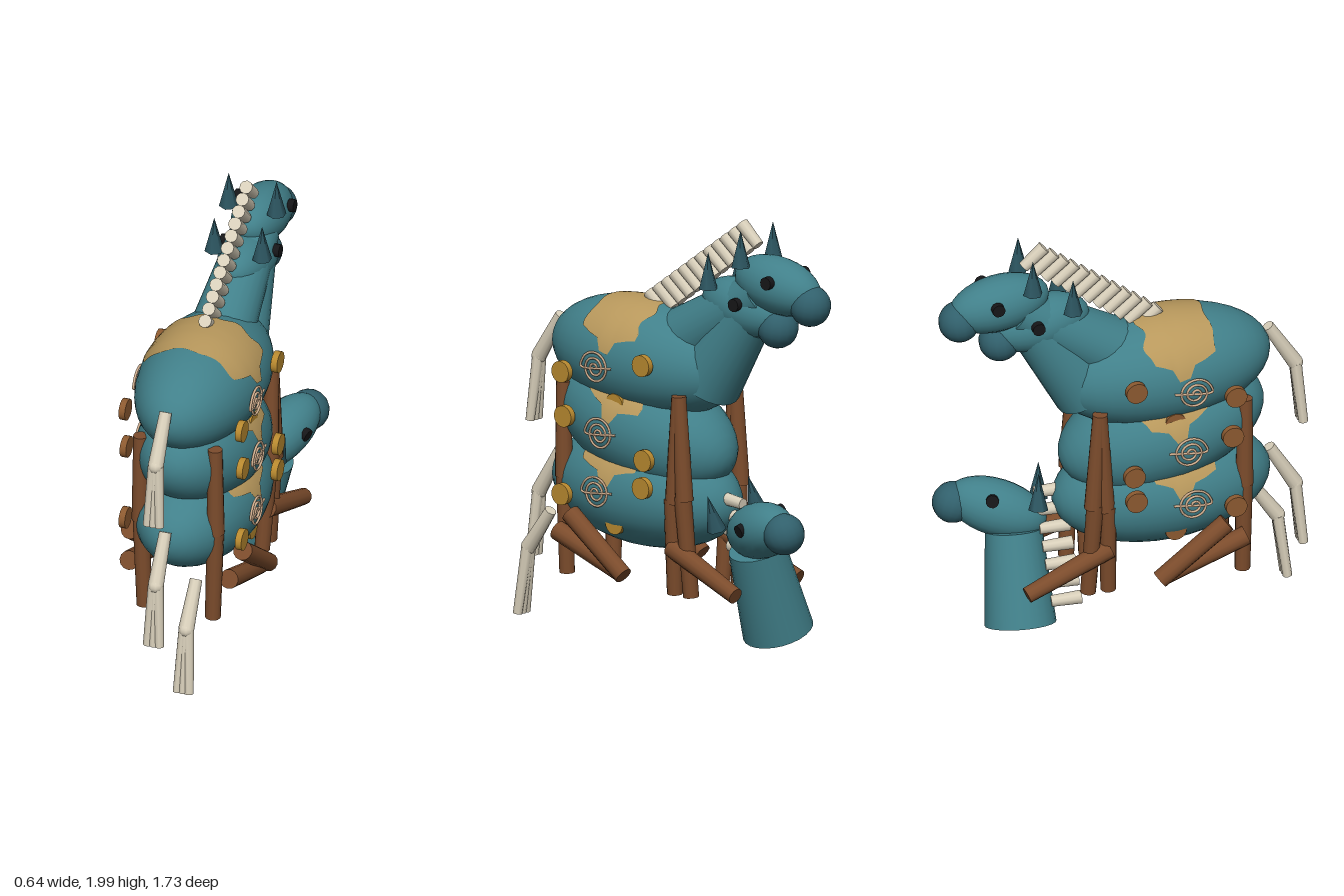
import * as THREE from 'three';

const mat = (name, color, side = THREE.FrontSide) => {
  const m = new THREE.MeshStandardMaterial({ color, side });
  m.name = name;
  return m;
};

export function createModel() {
  const teal = mat('teal hide', 0x41808a);
  const dark = mat('dark muzzle', 0x31606c);
  const earTeal = mat('ear teal', 0x2c5560);
  const tan = mat('tan patch', 0xb8985c, THREE.DoubleSide);
  const cream = mat('cream hair', 0xd8cfba);
  const brown = mat('brown leg', 0x7c4c2c);
  const gold = mat('gold disc', 0xb8892f);
  const copper = mat('copper disc', 0x8c5a30);
  const pink = mat('pale swirl', 0xd2b090);
  const black = mat('black eye', 0x161618);

  const model = new THREE.Group();
  model.name = 'stackedHorses';
  const V = (p) => new THREE.Vector3(...p);

  const add = (parent, name, geo, material, pos = [0, 0, 0]) => {
    const m = new THREE.Mesh(geo, material);
    m.name = name;
    m.position.set(...pos);
    parent.add(m);
    return m;
  };
  // Tapered cylinder running from a to b
  const rod = (name, a, b, r0, r1, material, sides = 16) => {
    const d = V(b).sub(V(a));
    const m = add(model, name, new THREE.CylinderGeometry(r1, r0, d.length(), sides), material);
    m.position.copy(V(a)).addScaledVector(d, 0.5);
    m.quaternion.setFromUnitVectors(new THREE.Vector3(0, 1, 0), d.normalize());
    return m;
  };

  // Splash patch draped over the back of an ellipsoid body: [t along body, half angle]
  const patchGeometry = (rx, ry, a) => {
    const rows = [[0.41, 52], [0.4, 57], [0.28, 63], [0.18, 66], [0.12, 78], [0.02, 80],
      [-0.03, 67], [-0.12, 63], [-0.2, 60], [-0.215, 52]];
    const n = 32, pos = [], idx = [];
    rows.forEach(([t0, deg], r) => {
      for (let i = 0; i <= n; i++) {
        const phi = THREE.MathUtils.degToRad(deg) * (i / n * 2 - 1);
        const jag = r > 6 ? 0.03 * Math.sin(phi * 11) : r < 2 ? 0.012 * Math.sin(phi * 9) : 0;
        const t = t0 + jag, k = Math.sqrt(1 - t * t) * 1.015;
        pos.push(rx * k * Math.sin(phi), ry * k * Math.cos(phi), a * t);
        if (r && i < n) {
          const q = r * (n + 1) + i, p = q - n - 1;
          idx.push(p, p + 1, q, p + 1, q + 1, q);
        }
      }
    });
    const g = new THREE.BufferGeometry();
    g.setAttribute('position', new THREE.Float32BufferAttribute(pos, 3));
    g.setIndex(idx);
    g.computeVertexNormals();
    // Face the patch outward
    if (g.attributes.normal.getY(n * 5) < 0) {
      g.setIndex(idx.reverse());
      g.computeVertexNormals();
    }
    return g;
  };

  // Three bodies stacked on each other
  const bodies = [
    { y: 1.285, a: 0.51, tilt: -0.06 },
    { y: 0.965, a: 0.49, tilt: -0.25 },
    { y: 0.67, a: 0.51, tilt: -0.05 },
  ];
  for (const { y, a, tilt } of bodies) {
    const g = new THREE.Group();
    g.name = 'body';
    g.position.set(0, y, 0.18);
    g.rotation.x = tilt;
    model.add(g);
    add(g, 'barrel', new THREE.SphereGeometry(1, 32, 20).rotateX(Math.PI / 2).scale(0.28, 0.265, a), teal);
    add(g, 'backPatch', patchGeometry(0.28, 0.265, a), tan);
  }

  // Round side discs: [y, z, x]
  const discs = [[1.215, 0.45, 0.28], [1.315, -0.02, 0.28], [1.01, 0.435, 0.28], [0.875, -0.03, 0.28],
    [0.645, 0.45, 0.28], [0.745, -0.02, 0.28], [1.095, 0.18, 0.225], [0.54, 0.18, 0.225]];
  // Flat spirals on the flanks
  const swirl = [];
  for (let i = 0; i <= 40; i++) {
    const f = i / 40, ang = f * Math.PI * 5, r = 0.012 + 0.068 * f;
    swirl.push(new THREE.Vector3(0, r * Math.sin(ang), -r * Math.cos(ang)));
  }
  swirl.push(new THREE.Vector3(0, 0.01, -0.1));
  const swirlGeo = new THREE.TubeGeometry(new THREE.CatmullRomCurve3(swirl), 100, 0.006, 5);
  for (const s of [1, -1]) {
    for (const [y, z, x] of discs) {
      add(model, 'sideDisc', new THREE.CylinderGeometry(0.05, 0.05, 0.03, 20).rotateZ(Math.PI / 2),
        s > 0 ? gold : copper, [s * x, y, z]);
    }
    for (const [y, z] of [[1.26, 0.26], [0.955, 0.235], [0.68, 0.255]]) {
      add(model, 'flankSwirl', swirlGeo, pink, [s * 0.281, y, z]);
    }
  }

  // Legs: straight pairs, then folded pairs, mirrored
  for (const s of [1, -1]) {
    const leg = (name, a, b, r0, r1) =>
      rod(name, [s * a[0], a[1], a[2]], [s * b[0], b[1], b[2]], r0, r1, brown, 12);
    leg('rearUpperLeg', [0.18, 1.14, 0.525], [0.18, 0.7, 0.52], 0.033, 0.042);
    leg('rearLowerLeg', [0.18, 0.75, 0.52], [0.165, 0.25, 0.515], 0.04, 0.036);
    leg('frontUpperLeg', [0.2, 1.18, -0.165], [0.2, 0.68, -0.14], 0.032, 0.042);
    leg('frontLowerLeg', [0.2, 0.7, -0.13], [0.17, 0.25, -0.12], 0.04, 0.036);
    leg('frontUpperLeg', [0.2, 1.18, -0.17], [0.2, 0.7, -0.2], 0.032, 0.042);
    leg('frontLowerLeg', [0.2, 0.72, -0.19], [0.17, 0.25, -0.215], 0.04, 0.036);
    leg('foldedFrontLeg', [0.19, 0.47, -0.12], [0.225, 0.31, -0.52], 0.048, 0.038);
    leg('foldedThigh', [0.27, 0.56, 0.41], [0.28, 0.32, 0.09], 0.045, 0.042);
    leg('foldedShin', [0.24, 0.46, 0.51], [0.25, 0.32, 0.13], 0.045, 0.04);
  }

  // Bent tails ending in splayed strands
  const tail = (a, b, c) => {
    rod('tailRoot', a, b, 0.028, 0.036, cream, 10);
    add(model, 'tailBend', new THREE.SphereGeometry(0.036, 10, 8), cream, b);
    for (const k of [-1, 0, 1]) {
      rod('tailStrand', [b[0] + k * 0.01, b[1], b[2]], [c[0] + k * 0.028, c[1], c[2]],
        0.027, 0.022, cream, 8);
    }
  };
  tail([0, 1.39, 0.685], [0, 1.18, 0.815], [0, 0.88, 0.845]);
  tail([0, 0.76, 0.69], [0, 0.55, 0.815], [0, 0.25, 0.845]);
  tail([0.13, 0.51, 0.64], [0.13, 0.32, 0.77], [0.13, 0.01, 0.81]);

  // Necks
  rod('upperNeck', [0, 1.39, -0.04], [0, 1.68, -0.5], 0.15, 0.11, teal, 24);
  rod('middleNeck', [0, 1.22, -0.17], [0, 1.58, -0.42], 0.165, 0.12, teal, 24);
  rod('lowerNeck', [-0.09, 0.09, -0.51], [0.05, 0.5, -0.5], 0.163, 0.13, teal, 24);

  // Heads facing -z
  const head = (name, pos, rot, eyeX) => {
    const g = new THREE.Group();
    g.name = name;
    g.position.set(...pos);
    g.rotation.set(...rot, 'YXZ');
    model.add(g);
    add(g, 'skull', new THREE.SphereGeometry(1, 24, 16).rotateX(Math.PI / 2).scale(0.125, 0.13, 0.235), teal);
    add(g, 'muzzle', new THREE.SphereGeometry(0.095, 16, 12), dark, [0, -0.038, -0.195]);
    for (const s of [1, -1]) {
      add(g, 'eye', new THREE.CylinderGeometry(0.03, 0.03, 0.03, 12).rotateZ(Math.PI / 2), black,
        [s * eyeX, 0.045, -0.035]);
      const ear = add(g, 'ear', new THREE.ConeGeometry(0.045, 0.17, 6), earTeal, [s * 0.115, 0.15, 0.15]);
      ear.rotation.x = -rot[0];
    }
  };
  head('upperHead', [0, 1.725, -0.585], [-0.15, 0, 0], 0.128);
  head('middleHead', [0, 1.595, -0.395], [-0.15, 0, 0], 0.128);
  head('lowerHead', [0.1, 0.6, -0.565], [0.3, -0.38, -0.3], 0.112);

  // Manes: rows of stubby bristles
  const bristles = (n, from, to, dir, length) => {
    for (let i = 0; i < n; i++) {
      const c = V(from).lerp(V(to), i / (n - 1));
      const d = V(dir).normalize().multiplyScalar(length / 2);
      rod('maneBristle', c.clone().sub(d).toArray(), c.clone().add(d).toArray(), 0.026, 0.031, cream, 10);
    }
  };
  bristles(12, [0, 1.535, 0.12], [0, 1.935, -0.42], [0, 0.67, 0.75], 0.13);
  bristles(7, [-0.14, 0.21, -0.31], [0.03, 0.69, -0.34], [-0.1, 0.06, 1], 0.14);

  return model;
}
